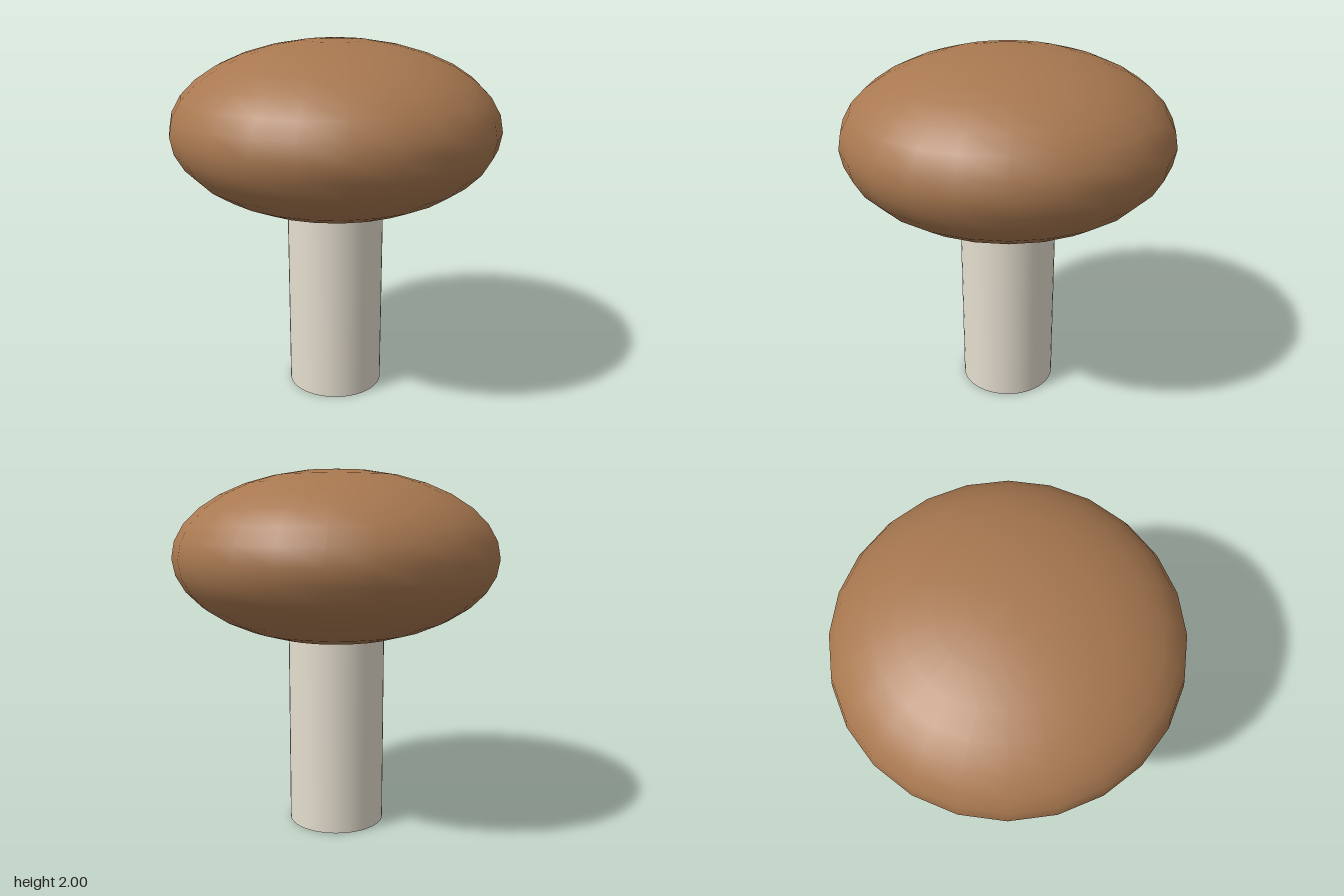
import * as THREE from 'three';

export function createModel() {
  const group = new THREE.Group();
  const capBrown = new THREE.MeshStandardMaterial({ name: 'cap brown', color: 0xa87850 });
  const stemCream = new THREE.MeshStandardMaterial({ name: 'stem cream', color: 0xe6dfd0 });

  // Straight round stem, its top buried in the cap
  const stemHeight = 1.15;
  const stem = new THREE.Mesh(new THREE.CylinderGeometry(0.27, 0.27, stemHeight, 48), stemCream);
  stem.name = 'stem';
  stem.position.y = stemHeight / 2;

  // Flattened sphere cap
  const cap = new THREE.Mesh(new THREE.SphereGeometry(0.9, 24, 16).scale(1, 0.475 / 0.9, 1), capBrown);
  cap.name = 'cap';
  cap.position.y = 1.525;

  group.add(stem, cap);
  return group;
}
